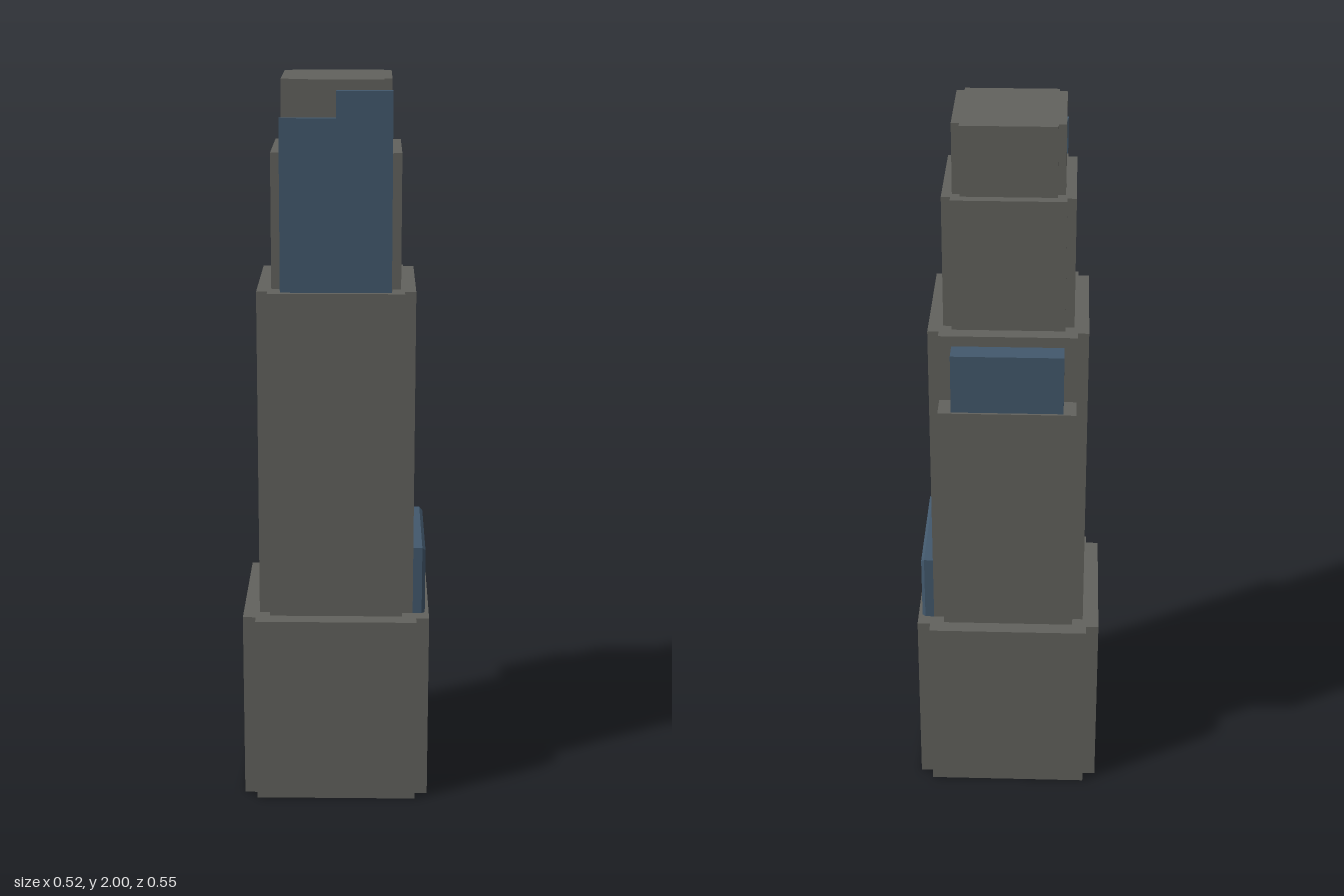
import * as THREE from 'three';

export function createModel() {
  const tower = new THREE.Group();
  tower.name = 'tower';
  const stone = new THREE.MeshStandardMaterial({ name: 'stone grey', color: 0x62625d });
  const glass = new THREE.MeshStandardMaterial({ name: 'slate blue', color: 0x42586c });

  function add(name, geometry, material) {
    const mesh = new THREE.Mesh(geometry, material);
    mesh.name = name;
    tower.add(mesh);
    return mesh;
  }

  // Box given by its limits on each axis
  function block(x0, x1, y0, y1, z0, z1, segmentsX = 1) {
    return new THREE.BoxGeometry(x1 - x0, y1 - y0, z1 - z0, segmentsX)
      .translate((x0 + x1) / 2, (y0 + y1) / 2, (z0 + z1) / 2);
  }

  // Outline in the ground plane, extruded upwards
  function prism(points, y0, y1) {
    const shape = new THREE.Shape(points.map(([x, z]) => new THREE.Vector2(x, -z)));
    return new THREE.ExtrudeGeometry(shape, { depth: y1 - y0, bevelEnabled: false })
      .rotateX(-Math.PI / 2).translate(0, y0, 0);
  }

  // Rectangle with a notch (nx by nz) cut from every corner
  function notched(x0, x1, z0, z1, nx, nz) {
    return [
      [x0 + nx, z1], [x1 - nx, z1], [x1 - nx, z1 - nz], [x1, z1 - nz],
      [x1, z0 + nz], [x1 - nx, z0 + nz], [x1 - nx, z0], [x0 + nx, z0],
      [x0 + nx, z0 + nz], [x0, z0 + nz], [x0, z1 - nz], [x0 + nx, z1 - nz],
    ];
  }

  // Stepped tiers: name, y0, y1, x0, x1, z0, z1, notch x, notch z
  const tiers = [
    ['baseTier', 0, 0.533, -0.259, 0.258, -0.241, 0.272, 0.036, 0.034],
    ['mainTier', 0.533, 1.445, -0.214, 0.213, -0.198, 0.225, 0.03, 0.028],
    ['upperTier', 1.445, 1.81, -0.175, 0.173, -0.158, 0.187, 0.024, 0.023],
    ['crownTier', 1.81, 2, -0.147, 0.146, -0.131, 0.159, 0.021, 0.019],
  ];
  for (const [name, y0, y1, ...plan] of tiers) add(name, prism(notched(...plan), y0, y1), stone);

  // Stepped front panel standing on the main tier
  const panel = new THREE.Shape([
    [-0.15, 1.445], [0.148, 1.445], [0.148, 1.975], [0, 1.975], [0, 1.905], [-0.15, 1.905],
  ].map(p => new THREE.Vector2(...p)));
  add('frontPanel', new THREE.ExtrudeGeometry(panel, { depth: 0.022, bevelEnabled: false })
    .translate(0, 0, 0.188), glass);

  // Side panel with its outer rim chamfered on the top and both ends
  const side = block(0.213, 0.247, 0.533, 0.725, -0.17, 0.198, 2);
  const pos = side.attributes.position;
  for (let i = 0; i < pos.count; i++) {
    const x = pos.getX(i);
    if (x > 0.22 && x < 0.24) pos.setX(i, 0.238);
    if (x > 0.24) {
      pos.setZ(i, pos.getZ(i) > 0 ? 0.189 : -0.161);
      if (pos.getY(i) > 0.6) pos.setY(i, 0.716);
    }
  }
  const sideFlat = side.toNonIndexed();
  sideFlat.computeVertexNormals();
  add('sidePanel', sideFlat, glass);

  // Rear bay with a glazed block on top
  add('rearBay', block(-0.184, 0.183, 0.968, 1.255, -0.273, -0.198), stone);
  add('rearBayTop', block(-0.15, 0.148, 1.255, 1.42, -0.266, -0.206), glass);

  return tower;
}
